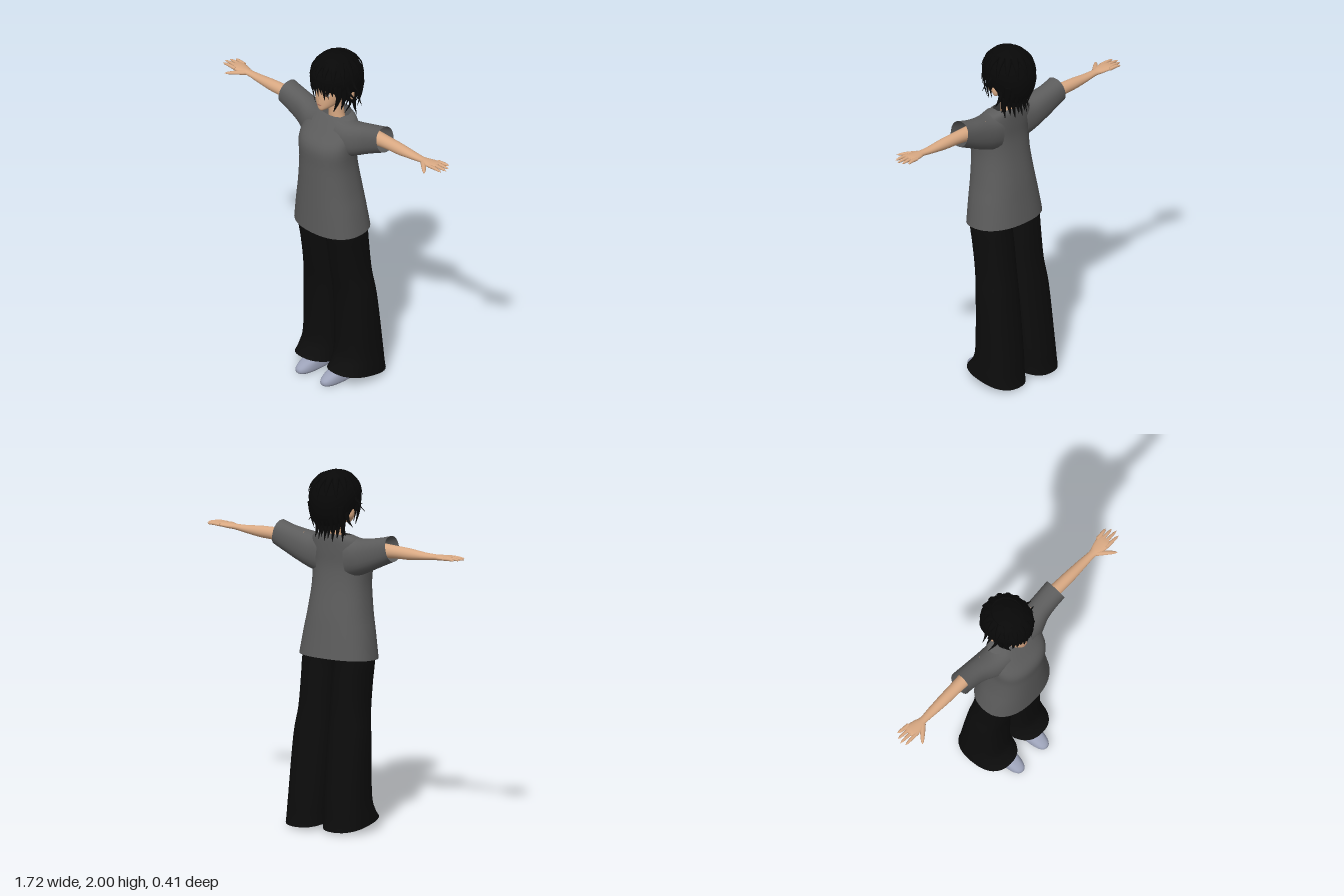
import * as THREE from 'three';

const mat = (name, color, side = THREE.FrontSide) => {
  const m = new THREE.MeshStandardMaterial({ color, side });
  m.name = name;
  return m;
};
const V = (x, y, z) => new THREE.Vector3(x, y, z);
const lerp = THREE.MathUtils.lerp;
const spow = (v, n) => Math.sign(v) * Math.pow(Math.abs(v), 2 / n);

// Skin a list of equal-length rings, optionally closing the first and last one.
function loft(rings, capStart = true, capEnd = true) {
  const n = rings[0].length, pos = [], idx = [];
  const push = (p) => pos.push(p.x, p.y, p.z) / 3 - 1;
  rings.forEach((r) => r.forEach(push));
  for (let i = 0; i < rings.length - 1; i++)
    for (let j = 0; j < n; j++) {
      const a = i * n + j, b = i * n + (j + 1) % n;
      idx.push(a, a + n, b, b, a + n, b + n);
    }
  const cap = (ring, flip) => {
    const mid = ring.reduce((s, p) => s.add(p), V(0, 0, 0)).divideScalar(n);
    const c = push(mid);
    ring.forEach(push);
    for (let j = 0; j < n; j++) {
      const a = c + 1 + j, b = c + 1 + (j + 1) % n;
      idx.push(c, flip ? b : a, flip ? a : b);
    }
  };
  if (capStart) cap(rings[0], false);
  if (capEnd) cap(rings[rings.length - 1], true);
  const g = new THREE.BufferGeometry();
  g.setAttribute('position', new THREE.Float32BufferAttribute(pos, 3));
  g.setIndex(idx);
  g.computeVertexNormals();
  return g;
}

// Smoothly subdivide rows of section numbers.
function smooth(rows, k = 4) {
  const out = [], at = (i) => rows[Math.max(0, Math.min(rows.length - 1, i))];
  for (let i = 0; i < rows.length - 1; i++)
    for (let s = 0; s < k; s++) {
      const t = s / k;
      out.push(rows[i].map((_, c) => {
        const a = at(i - 1)[c], b = at(i)[c], d = at(i + 1)[c], e = at(i + 2)[c];
        return b + 0.5 * t * (d - a + t * (2 * a - 5 * b + 4 * d - e + t * (3 * (b - d) + e - a)));
      }));
    }
  out.push(rows[rows.length - 1]);
  return out;
}

// Upright section: [front y, back y, centre x, half width, front z, back z]
const upright = (rows, n = 2, sides = 32) => smooth(rows).map(([yf, yb, cx, hx, zf, zb]) =>
  Array.from({ length: sides }, (_, j) => {
    const a = (j / sides) * Math.PI * 2, t = (spow(Math.sin(a), n) + 1) / 2;
    return V(cx + hx * spow(Math.cos(a), n), lerp(yb, yf, t), lerp(zb, zf, t));
  }));

// Sideways section: [top x, bottom x, top y, bottom y, front z, back z]
const sideways = (rows, n = 2, sides = 24) => smooth(rows).map(([xt, xb, yt, yb, zf, zb]) =>
  Array.from({ length: sides }, (_, j) => {
    const a = (j / sides) * Math.PI * 2;
    const t = (spow(Math.sin(a), n) + 1) / 2, u = (spow(Math.cos(a), n) + 1) / 2;
    return V(lerp(xb, xt, t), lerp(yb, yt, t), lerp(zb, zf, u));
  }));

// Tapering strand along a curve, used for hair locks and fingers.
function strand(pts, width, thick, out, taper = 0.8, sides = 6, steps = 7) {
  const curve = new THREE.CatmullRomCurve3(pts.map((p) => V(...p)));
  const rings = [];
  for (let i = 0; i <= steps; i++) {
    const t = i / steps, p = curve.getPoint(t), T = curve.getTangent(t);
    const side = T.clone().cross(out).normalize(), o = side.clone().cross(T).normalize();
    const k = Math.max(0.04, Math.pow(1 - t, taper));
    rings.push(Array.from({ length: sides }, (_, j) => {
      const a = (j / sides) * Math.PI * 2;
      return p.clone().addScaledVector(side, Math.cos(a) * width * k)
        .addScaledVector(o, Math.sin(a) * thick * k);
    }));
  }
  return loft(rings);
}

function mirrored(geo) {
  const g = geo.clone().scale(-1, 1, 1), i = g.index.array;
  for (let k = 0; k < i.length; k += 3) [i[k], i[k + 1]] = [i[k + 1], i[k]];
  g.computeVertexNormals();
  return g;
}

export function createModel() {
  const root = new THREE.Group();
  root.name = 'standingFigure';
  const skin = mat('skin', 0xd9a983), hair = mat('hair', 0x080808, THREE.DoubleSide);
  const shirt = mat('shirtGrey', 0x5c5c5c, THREE.DoubleSide);
  const cloth = mat('trouserBlack', 0x0c0c0c, THREE.DoubleSide);
  const shoe = mat('shoeGrey', 0x9ca2b8), white = mat('eyeWhite', 0xe4dfda);
  const iris = mat('iris', 0x3a2a22), lip = mat('lip', 0xa9705c);

  const add = (name, geo, m) => {
    const o = new THREE.Mesh(geo, m);
    o.name = name;
    root.add(o);
    return o;
  };
  const pair = (name, geo, m) => {
    add('left' + name, geo, m);
    add('right' + name, mirrored(geo), m);
  };

  // Shirt body and sleeves
  add('shirtBody', loft(upright([
    [0.937, 0.96, 0, 0.23, 0.2, -0.13], [1.08, 1.09, 0, 0.208, 0.2, -0.113],
    [1.2, 1.2, 0, 0.187, 0.2, -0.098], [1.35, 1.35, 0, 0.17, 0.2, -0.072],
    [1.47, 1.46, 0, 0.175, 0.198, -0.06], [1.55, 1.55, 0, 0.175, 0.142, -0.063],
    [1.615, 1.62, 0, 0.145, 0.088, -0.065], [1.632, 1.65, 0, 0.095, 0.07, -0.06],
  ], 2.3, 40), false, false), shirt);
  pair('Sleeve', loft(sideways([
    [0.08, 0.1, 1.635, 1.4, 0.12, -0.058], [0.15, 0.17, 1.625, 1.425, 0.105, -0.06],
    [0.24, 0.25, 1.64, 1.462, 0.075, -0.06], [0.31, 0.33, 1.655, 1.5, 0.068, -0.06],
    [0.365, 0.395, 1.67, 1.53, 0.07, -0.06],
  ], 2.3), false, false), shirt);

  // Wide trousers, open at the hem
  pair('TrouserLeg', loft(upright([
    [0.07, 0.01, 0.125, 0.13, 0.145, -0.2], [0.11, 0.06, 0.124, 0.127, 0.11, -0.19],
    [0.2, 0.18, 0.12, 0.122, 0.082, -0.178], [0.5, 0.5, 0.114, 0.117, 0.083, -0.138],
    [0.66, 0.66, 0.105, 0.107, 0.105, -0.115], [0.82, 0.82, 0.104, 0.103, 0.132, -0.1],
    [0.93, 0.93, 0.106, 0.1, 0.152, -0.09], [1.02, 1.02, 0.098, 0.092, 0.155, -0.085],
  ], 2.4), false, true), cloth);

  // Shoes
  pair('Shoe', loft(upright([
    [0, 0, 0.096, 0.042, 0.198, -0.055], [0.012, 0.01, 0.096, 0.05, 0.21, -0.062],
    [0.035, 0.035, 0.096, 0.05, 0.205, -0.062], [0.06, 0.06, 0.096, 0.046, 0.165, -0.058],
    [0.074, 0.08, 0.096, 0.036, 0.11, -0.054], [0.09, 0.12, 0.096, 0.032, 0.04, -0.05],
  ], 2.4), true, true), shoe);

  // Arms with palm, fingers and thumb
  pair('Arm', loft(sideways([
    [0.2, 0.2, 1.63, 1.53, 0.045, -0.045], [0.4, 0.4, 1.622, 1.55, 0.037, -0.034],
    [0.5, 0.5, 1.618, 1.554, 0.035, -0.03], [0.6, 0.6, 1.609, 1.566, 0.029, -0.024],
    [0.67, 0.67, 1.607, 1.575, 0.026, -0.018], [0.71, 0.71, 1.609, 1.578, 0.038, -0.03],
    [0.76, 0.76, 1.61, 1.585, 0.044, -0.04], [0.785, 0.785, 1.607, 1.59, 0.036, -0.036],
  ])), skin);
  [[-0.033, 0.825, -0.044], [-0.012, 0.848, -0.018], [0.011, 0.858, 0.008], [0.034, 0.845, 0.036]]
    .forEach(([z, x, tip], i) => pair('Finger' + (i + 1), strand(
      [[0.75, 1.598, z], [0.8, 1.6, (z + tip) / 2], [x, 1.597, tip]], 0.012, 0.01, V(0, 1, 0), 0.3, 8), skin));
  pair('Thumb', strand([[0.69, 1.592, 0.018], [0.735, 1.59, 0.06], [0.775, 1.585, 0.097]],
    0.017, 0.013, V(0, 1, 0), 0.4, 8), skin);

  // Neck, head, nose and ears
  add('neck', loft(upright([
    [1.56, 1.56, 0, 0.06, 0.04, -0.045], [1.63, 1.64, 0, 0.043, 0.045, -0.04],
    [1.74, 1.74, 0, 0.042, 0.05, -0.045],
  ])), skin);
  add('head', loft(upright([
    [1.678, 1.7, 0, 0.014, 0.124, 0.06], [1.69, 1.705, 0, 0.034, 0.133, 0.03],
    [1.715, 1.72, 0, 0.06, 0.135, -0.02], [1.75, 1.75, 0, 0.08, 0.135, -0.07],
    [1.8, 1.8, 0, 0.096, 0.132, -0.1], [1.87, 1.87, 0, 0.1, 0.135, -0.11],
    [1.94, 1.94, 0, 0.075, 0.09, -0.08], [1.965, 1.965, 0, 0.03, 0.04, -0.04],
  ], 2.2)), skin);
  const nose = add('nose', new THREE.ConeGeometry(0.012, 0.04, 8), skin);
  nose.position.set(0, 1.758, 0.137);
  nose.rotation.x = 0.35;
  pair('Ear', new THREE.SphereGeometry(1, 14, 10).scale(0.012, 0.034, 0.02)
    .rotateY(0.4).translate(0.112, 1.775, -0.008), skin);

  // Thin facial details
  const plate = (rx, ry, x, y, z) => new THREE.CylinderGeometry(1, 1, 0.006, 18)
    .rotateX(Math.PI / 2).scale(rx, ry, 1).rotateY(x * 9).translate(x, y, z);
  pair('EyeWhite', plate(0.018, 0.011, 0.044, 1.793, 0.121), white);
  pair('Iris', plate(0.008, 0.01, 0.043, 1.793, 0.125), iris);
  pair('Lash', plate(0.02, 0.004, 0.044, 1.804, 0.125), hair);
  add('mouth', plate(0.016, 0.003, 0, 1.718, 0.135), lip);

  // Hair cap, lower at the back than over the brow
  add('hairCap', loft(upright([
    [1.825, 1.7, 0, 0.108, 0.143, -0.105], [1.86, 1.755, 0, 0.127, 0.153, -0.143],
    [1.895, 1.84, 0, 0.137, 0.15, -0.156], [1.94, 1.91, 0, 0.122, 0.125, -0.135],
    [1.98, 1.965, 0, 0.08, 0.085, -0.09], [1.998, 1.994, 0, 0.022, 0.022, -0.025],
  ], 2.1), false, true), hair);

  const lock = (name, pts, w = 0.02, t = 0.008) => {
    const m = pts[1];
    add(name, strand(pts, w, t, V(m[0], 0, m[2]).normalize()), hair);
  };
  // Fringe
  for (let i = -5; i <= 5; i++) {
    const x = i * 0.019, z = 0.152 - x * x * 5, dip = [0, 0.02, -0.01][(i + 6) % 3];
    lock('fringeLock', [[x * 0.85, 1.91, z - 0.014], [x, 1.85, z], [x * 1.08 + 0.004, 1.775 + dip, z - 0.006]], 0.022);
  }
  // Locks around the sides, framing the face and flicking outwards
  for (const s of [-1, 1]) {
    lock('faceLock', [[s * 0.1, 1.88, 0.09], [s * 0.102, 1.78, 0.088], [s * 0.07, 1.685, 0.095]], 0.026);
    lock('faceLock', [[s * 0.11, 1.87, 0.065], [s * 0.112, 1.77, 0.055], [s * 0.092, 1.69, 0.06]], 0.024);
    lock('sideLock', [[s * 0.12, 1.87, 0.03], [s * 0.122, 1.79, 0.026], [s * 0.1, 1.71, 0.03]], 0.02);
    lock('flickLock', [[s * 0.12, 1.87, 0.04], [s * 0.135, 1.81, 0.04], [s * 0.182, 1.778, 0.03]], 0.016);
    lock('flickLock', [[s * 0.12, 1.9, 0], [s * 0.143, 1.84, 0.005], [s * 0.178, 1.825, 0.01]], 0.016);
    lock('flickLock', [[s * 0.11, 1.8, -0.05], [s * 0.12, 1.74, -0.05], [s * 0.15, 1.7, -0.045]], 0.018);
    lock('neckLock', [[s * 0.08, 1.76, -0.04], [s * 0.075, 1.69, -0.03], [s * 0.06, 1.635, 0]], 0.024);
    lock('neckLock', [[s * 0.09, 1.78, -0.06], [s * 0.088, 1.7, -0.055], [s * 0.1, 1.645, -0.045]], 0.026);
  }
  // Nape, in two staggered layers
  for (let i = -4; i <= 4; i++) {
    const x = i * 0.021, z = -0.115 + x * x * 6, d = (i & 1) * 0.018;
    lock('napeLock', [[x, 1.79, z], [x, 1.7, z + 0.025], [x * 1.1, 1.615 + d, z + 0.01]], 0.026, 0.014);
    lock('backLock', [[x * 1.2, 1.82, z - 0.025], [x * 1.2, 1.75, z - 0.015], [x * 1.15, 1.67 + d, z + 0.01]], 0.026, 0.014);
  }
  // Small tufts at the crown rim
  for (let i = 0; i < 16; i++) {
    const a = (i / 16) * Math.PI * 2 + 0.1, c = Math.cos(a), s = Math.sin(a);
    lock('crownTuft', [[c * 0.08, 1.97, s * 0.09], [c * 0.125, 1.925, s * 0.138],
      [c * 0.147, 1.845 + (i % 3) * 0.015, s * 0.158]], 0.024, 0.007);
  }
  return root;
}
